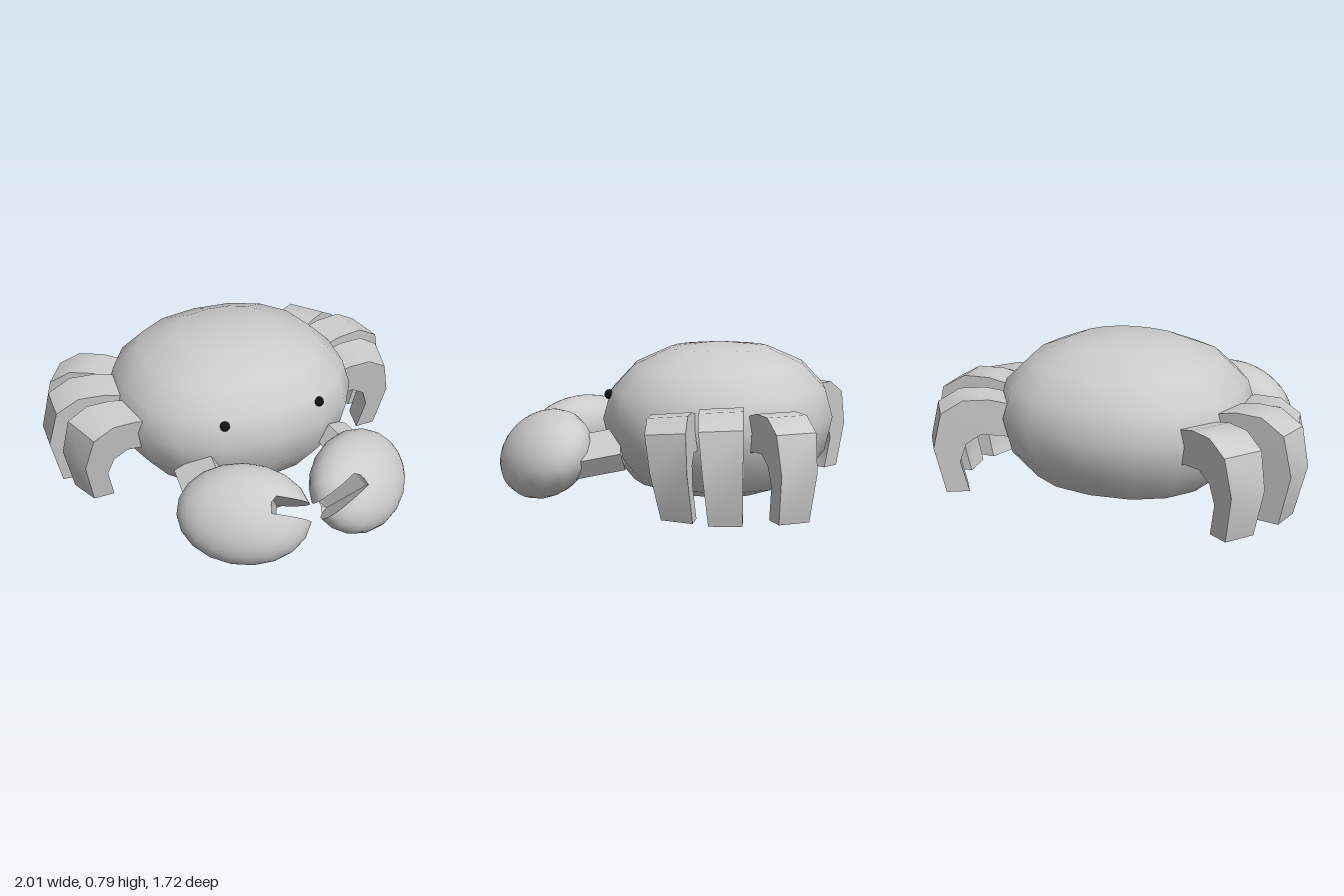
import * as THREE from 'three';
import { toCreasedNormals } from 'three/addons/utils/BufferGeometryUtils.js';

const grey = new THREE.MeshStandardMaterial({ color: 0xcccccc, side: THREE.DoubleSide });
const black = new THREE.MeshStandardMaterial({ color: 0x111111 });

// Moves every vertex by a rule that edits the vector in place
function warp(geo, rule) {
  const p = geo.attributes.position;
  const v = new THREE.Vector3();
  for (let i = 0; i < p.count; i++) {
    rule(v.fromBufferAttribute(p, i));
    p.setXYZ(i, v.x, v.y, v.z);
  }
  return geo;
}

// Mirrored copy across x, with the corner order turned round
function mirrored(geo) {
  const out = geo.index ? geo.toNonIndexed() : geo.clone();
  out.scale(-1, 1, 1);
  for (const attr of [out.attributes.position, out.attributes.normal]) {
    const a = new THREE.Vector3(), b = new THREE.Vector3();
    for (let i = 0; i < attr.count; i += 3) {
      a.fromBufferAttribute(attr, i);
      b.fromBufferAttribute(attr, i + 2);
      attr.setXYZ(i, b.x, b.y, b.z);
      attr.setXYZ(i + 2, a.x, a.y, a.z);
    }
  }
  return out;
}

// Domed shell, fuller all round than a ball, flattened underneath
function bodyGeometry() {
  const fuller = (n) => Math.sign(n) * Math.pow(Math.abs(n), 0.88);
  const geo = warp(new THREE.SphereGeometry(1, 16, 8), (v) => {
    v.x = fuller(v.x) * 0.655;
    v.y = Math.max(0.025, 0.415 + v.y * (v.y > 0 ? 0.385 : 0.46));
    v.z = -0.26 + fuller(v.z) * 0.597;
  });
  return toCreasedNormals(geo, Math.PI);
}

// Ellipsoid with a slot across its tip, built as rings stacked along the slot
function clawGeometry() {
  const centre = new THREE.Vector3(0.325, 0.23, 0.595);
  const tip = new THREE.Vector3(-0.82, 0, 0.57).multiplyScalar(0.34);
  const gap = new THREE.Vector3(0.4, -0.707, 0.58).multiplyScalar(0.255);
  const hinge = new THREE.Vector3(0.4, 0.707, 0.58).multiplyScalar(0.192);
  const rings = 20, arc = 18, count = arc + 3;
  const depth = 0.42, low = -0.31, high = 0.04;
  const pos = [], index = [];
  const angle = (v, r) => Math.asin(THREE.MathUtils.clamp(v / r, -0.55, 0.55));

  for (let i = 0; i <= rings; i++) {
    const t = (i / rings) * Math.PI;
    const r = Math.max(0.001, Math.sin(t));
    const a0 = angle(high, r), a1 = angle(low, r);
    const slotted = r * Math.cos(a1) > depth;
    const ring = [];
    for (let j = 0; j <= arc; j++) {
      const a = a0 + (j / arc) * (Math.PI * 2 + a1 - a0);
      ring.push([r * Math.cos(a), r * Math.sin(a)]);
    }
    for (const [k, v] of [[1 / 3, low], [2 / 3, high]]) {
      const a = a1 + (a0 - a1) * k;
      ring.push(slotted ? [depth, v] : [r * Math.cos(a), r * Math.sin(a)]);
    }
    for (const [a, b] of ring) {
      const p = centre.clone().addScaledVector(tip, a).addScaledVector(gap, b)
        .addScaledVector(hinge, -Math.cos(t));
      pos.push(p.x, p.y, p.z);
    }
  }
  for (let i = 0; i < rings; i++) {
    for (let j = 0; j < count; j++) {
      const a = i * count + j, b = i * count + ((j + 1) % count);
      index.push(a, b, b + count, a, b + count, a + count);
    }
  }
  const geo = new THREE.BufferGeometry();
  geo.setAttribute('position', new THREE.Float32BufferAttribute(pos, 3));
  geo.setIndex(index);
  return toCreasedNormals(geo, 0.7);
}

// Short square arm, rolled so one edge points outward
function armGeometry() {
  const geo = new THREE.BoxGeometry(0.21, 0.11, 0.34);
  geo.rotateZ(-0.55);
  geo.rotateX(0.2);
  geo.rotateY(0.15);
  geo.translate(0.415, 0.247, 0.335);
  return geo;
}

// Arched leg: outer curve down to the foot, then back along the inside
const legProfile = [
  [-0.12, 0.5], [0.07, 0.545], [0.21, 0.545], [0.33, 0.475], [0.375, 0.28], [0.315, 0.025],
  [0.19, 0.025], [0.235, 0.2], [0.2, 0.3], [0.12, 0.35], [0, 0.34], [-0.12, 0.3],
];

function legGeometry({ x, z, yaw, lean, skew, height, reach }) {
  const shape = new THREE.Shape(legProfile.map(([a, b]) => new THREE.Vector2(a, b)));
  const geo = new THREE.ExtrudeGeometry(shape, { depth: 0.21, bevelEnabled: false });
  geo.translate(0, 0, -0.105);
  warp(geo, (v) => {
    v.z *= 0.75 + 0.25 * Math.min(1, v.y / 0.5);
    v.x = v.x * reach - skew * v.z;
    const y = 0.025 + (v.y - 0.025) * height;
    v.y = y - lean * v.z * (y - 0.025) * 2;
    v.z -= lean * (0.5 - y);
  });
  geo.rotateY(yaw);
  geo.translate(x, 0, z);
  return toCreasedNormals(geo, 0.6);
}

export function createModel() {
  const model = new THREE.Group();
  model.name = 'crab';

  const add = (name, geo, material = grey) => {
    const mesh = new THREE.Mesh(geo, material);
    mesh.name = name;
    model.add(mesh);
  };
  const addPair = (name, geo, material) => {
    add('left' + name, geo, material);
    add('right' + name, mirrored(geo), material);
  };

  add('body', bodyGeometry());
  addPair('Claw', clawGeometry());
  addPair('Arm', armGeometry());

  // Eyes
  const eye = new THREE.SphereGeometry(0.026, 10, 8);
  eye.translate(0.27, 0.54, 0.266);
  addPair('Eye', eye, black);

  // Three legs a side, fanning from front to back
  addPair('FrontLeg', legGeometry({ x: 0.595, z: -0.14, yaw: 0.02, lean: 0.13, skew: 0.32, height: 0.93, reach: 0.9 }));
  addPair('MiddleLeg', legGeometry({ x: 0.62, z: -0.38, yaw: 0.14, lean: 0.05, skew: 0, height: 1, reach: 1 }));
  addPair('RearLeg', legGeometry({ x: 0.55, z: -0.605, yaw: 0.53, lean: 0, skew: -0.08, height: 0.95, reach: 0.93 }));

  return model;
}
